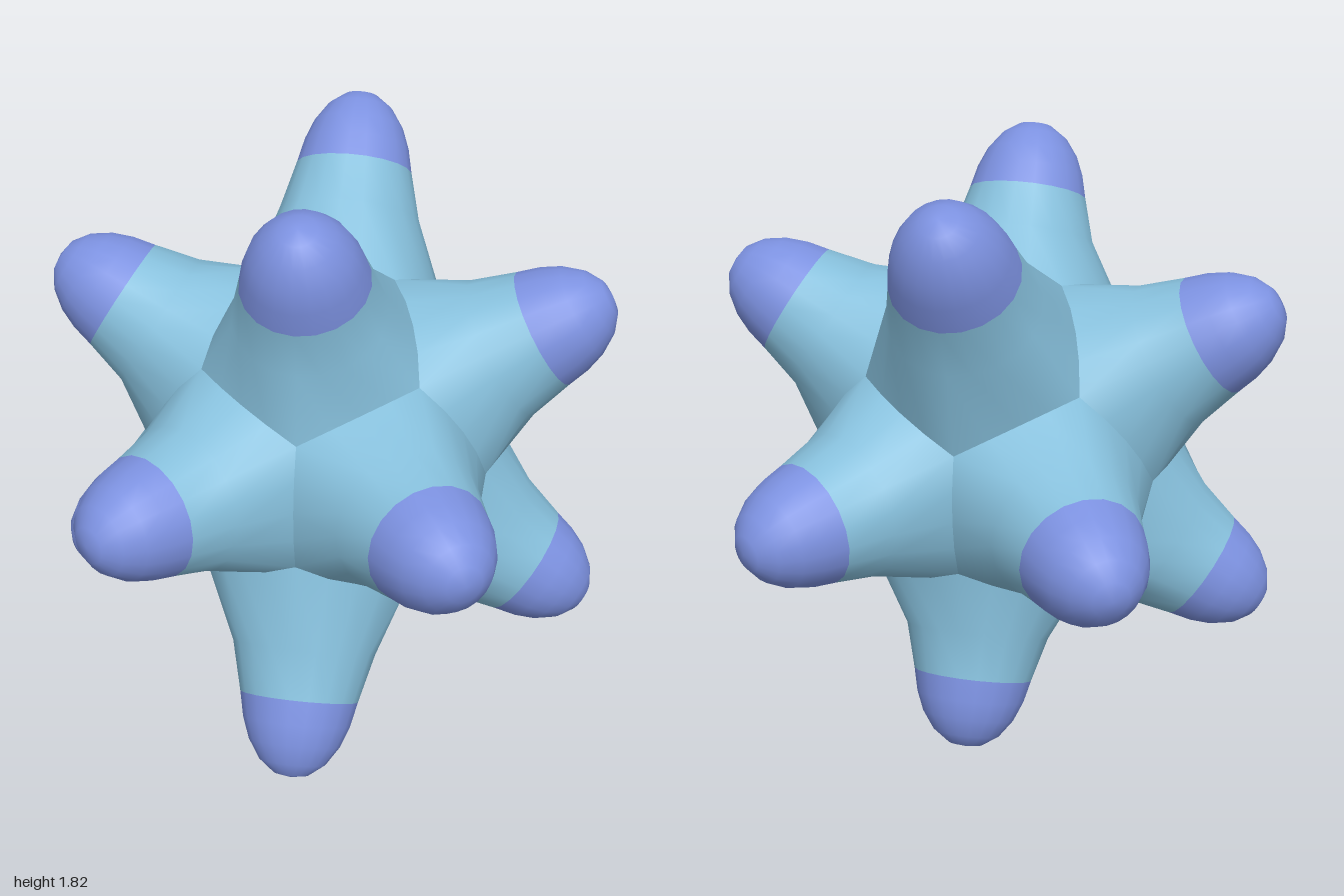
import * as THREE from 'three';

const SEGMENTS = 20;
const VALLEY_RADIUS = 0.56; // distance of the creases from the centre
const CENTRE_Y = 0.935;
// [radius, distance along the axis] from the tip down; the last row is a crease
const PROFILE = [[0, 1], [0.055, 0.99], [0.105, 0.955], [0.145, 0.9], [0.17, 0.84], [0.187, 0.77], [0.226, 0.63]];
const CAP_ROWS = 5;

// Twelve axes of a tilted icosahedron; one opposite pair is longer
function spikeAxes() {
  const f = new THREE.Vector3(0.671, 0.083, 0.736).normalize();
  const h = new THREE.Vector3(-0.739, 0, 0.674);
  h.addScaledVector(f, -h.dot(f)).normalize();
  const n = h.clone().cross(f);
  const phi = (1 + Math.sqrt(5)) / 2;
  const axes = [];
  for (const s of [1, -1]) for (const t of [1, -1]) {
    for (const [a, b, c] of [[s * phi, t, 0], [0, s * phi, t], [t, 0, s * phi]]) {
      const dir = new THREE.Vector3().addScaledVector(f, a).addScaledVector(h, b).addScaledVector(n, c).normalize();
      axes.push({ dir, length: b === 0 && a * c < 0 ? 1.1 : 1 });
    }
  }
  return axes;
}

// Rounded cone whose foot spreads to a five-sided cell of the sphere
function spikeGeometry(dir, neighbour, length) {
  const u = neighbour.clone().addScaledVector(dir, -neighbour.dot(dir)).normalize();
  const v = dir.clone().cross(u);
  const positions = [], index = [];
  const add = (r, axial, angle) => {
    const p = dir.clone().multiplyScalar(axial)
      .addScaledVector(u, r * Math.cos(angle)).addScaledVector(v, r * Math.sin(angle));
    positions.push(p.x, p.y, p.z);
  };
  const halfAngle = Math.acos(1 / Math.sqrt(5)) / 2;
  const sector = Math.PI * 2 / 5;
  add(0, length, 0);
  for (let row = 1; row <= PROFILE.length; row++) {
    for (let i = 0; i < SEGMENTS; i++) {
      const angle = i / SEGMENTS * Math.PI * 2;
      if (row < PROFILE.length) {
        add(PROFILE[row][0], PROFILE[row][1] * length, angle);
      } else {
        const local = angle - Math.round(angle / sector) * sector;
        const theta = Math.atan(Math.tan(halfAngle) / Math.cos(local));
        add(VALLEY_RADIUS * Math.sin(theta), VALLEY_RADIUS * Math.cos(theta), angle);
      }
    }
  }
  const at = (row, i) => 1 + (row - 1) * SEGMENTS + i % SEGMENTS;
  let capCount = 0;
  for (let row = 1; row <= PROFILE.length; row++) {
    for (let i = 0; i < SEGMENTS; i++) {
      if (row === 1) index.push(0, at(1, i), at(1, i + 1));
      else index.push(at(row - 1, i), at(row, i), at(row, i + 1), at(row - 1, i), at(row, i + 1), at(row - 1, i + 1));
    }
    if (row === CAP_ROWS) capCount = index.length;
  }
  const geometry = new THREE.BufferGeometry();
  geometry.setAttribute('position', new THREE.Float32BufferAttribute(positions, 3));
  geometry.setIndex(index);
  geometry.addGroup(0, capCount, 0);
  geometry.addGroup(capCount, index.length - capCount, 1);
  geometry.computeVertexNormals();
  return geometry;
}

export function createModel() {
  const tipMaterial = new THREE.MeshStandardMaterial({ color: 0x7c91e0 });
  tipMaterial.name = 'periwinkle tip';
  const bodyMaterial = new THREE.MeshStandardMaterial({ color: 0x86bfdb });
  bodyMaterial.name = 'sky blue body';

  const model = new THREE.Group();
  model.name = 'spikyBall';
  const axes = spikeAxes();
  axes.forEach(({ dir, length }, i) => {
    const neighbour = axes.find((o) => Math.abs(o.dir.dot(dir) - 1 / Math.sqrt(5)) < 0.01).dir;
    const spike = new THREE.Mesh(spikeGeometry(dir, neighbour, length), [tipMaterial, bodyMaterial]);
    spike.name = `spike${i + 1}`;
    spike.position.y = CENTRE_Y;
    model.add(spike);
  });
  return model;
}
